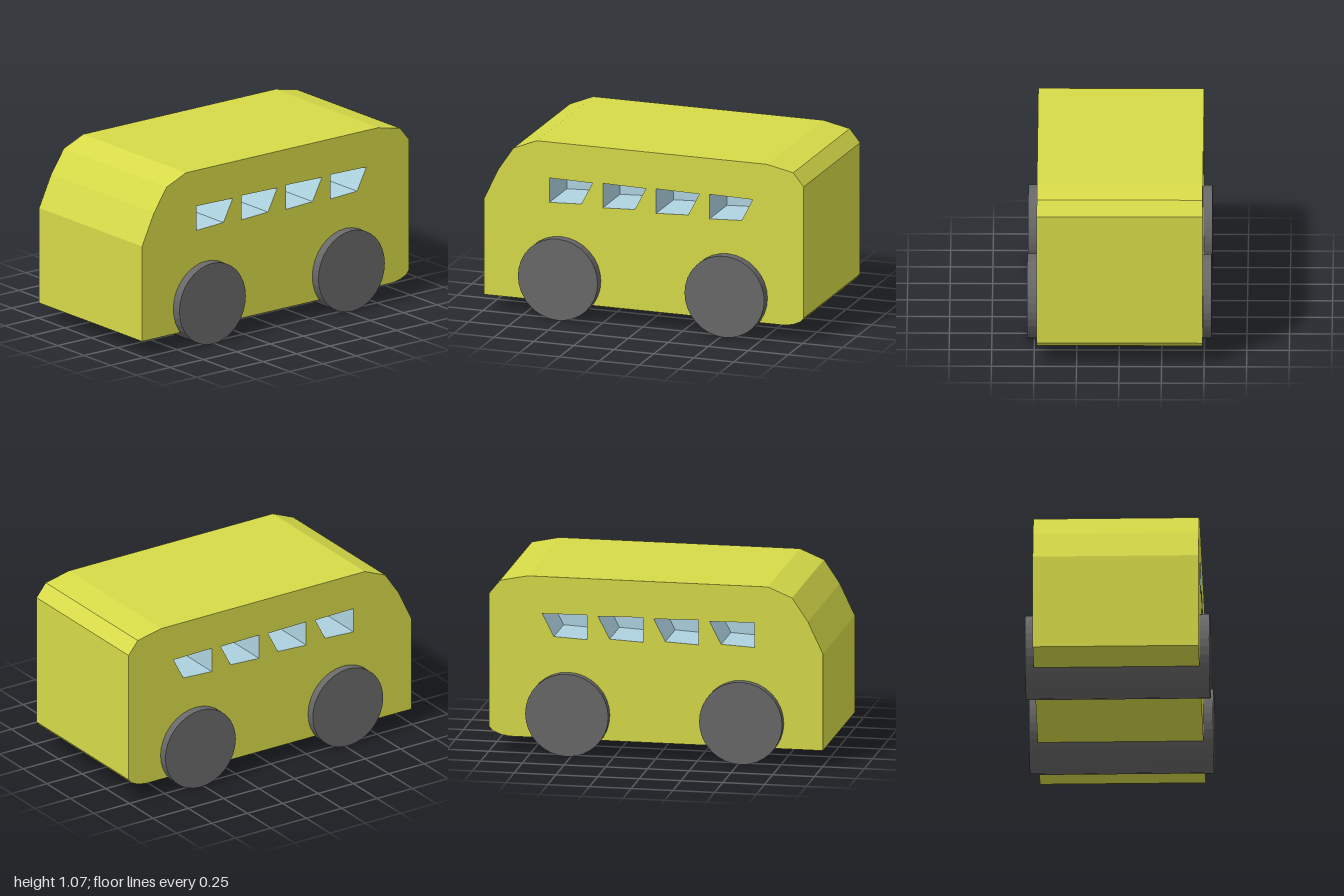
import * as THREE from 'three';

const RIGHT_X = 0.484, LEFT_X = -0.491; // side planes of the body
const POCKET_DEPTH = 0.3;

// Side profile of the body as [z, y]
const BODY = [
  [1, 0.095], [1, 0.68], [0.91, 0.87], [0.815, 1.01], [0.67, 1.07], [-0.77, 1.07],
  [-0.935, 1.035], [-1, 0.955], [-1, 0.15], [-0.98, 0.125], [-0.935, 0.105], [-0.88, 0.095],
];
// Foremost window; the others repeat it towards the rear
const WINDOW = [[0.59, 0.85], [0.32, 0.845], [0.39, 0.71], [0.59, 0.7]];
const WINDOW_SHIFTS = [0, 1, 2, 3].map((i) => -0.334 * i);

// Shape drawn so that a turn of side * 90 degrees about y puts it in the z-y plane
const outline = (points, side, dz = 0) =>
  new THREE.Shape(points.map(([z, y]) => new THREE.Vector2(-side * (z + dz), y)));

// Walls of an extruded outline, without its end caps
function walls(shape, depth) {
  const solid = new THREE.ExtrudeGeometry(shape, { depth, bevelEnabled: false, steps: 1 });
  const { start, count } = solid.groups[1];
  const positions = solid.attributes.position.array.slice(start * 3, (start + count) * 3);
  const geometry = new THREE.BufferGeometry();
  geometry.setAttribute('position', new THREE.BufferAttribute(positions, 3));
  geometry.computeVertexNormals();
  return geometry;
}

export function createModel() {
  const model = new THREE.Group();
  model.name = 'van';
  const paint = new THREE.MeshStandardMaterial({ color: 0xd6da48 });
  const glass = new THREE.MeshStandardMaterial({ color: 0xaed3e0, side: THREE.DoubleSide });
  const rubber = new THREE.MeshStandardMaterial({ color: 0x686868, flatShading: true });

  const add = (parent, name, geometry, material) => {
    const mesh = new THREE.Mesh(geometry, material);
    mesh.name = name;
    parent.add(mesh);
    return mesh;
  };

  // Front, roof, rear and floor in one wrap
  const shell = add(model, 'bodyShell', walls(outline(BODY, 1), RIGHT_X - LEFT_X), paint);
  shell.rotation.y = Math.PI / 2;
  shell.position.x = LEFT_X;

  // Sides with recessed windows
  for (const side of [1, -1]) {
    const group = new THREE.Group();
    group.name = side > 0 ? 'leftSide' : 'rightSide';
    group.rotation.y = side * Math.PI / 2;
    group.position.x = side > 0 ? RIGHT_X : LEFT_X;
    const panel = outline(BODY, side);
    for (const dz of WINDOW_SHIFTS) {
      const opening = outline(WINDOW, side, dz);
      panel.holes.push(opening);
      const recess = add(group, 'windowRecess', walls(opening, POCKET_DEPTH), glass);
      const pane = add(group, 'windowPane', new THREE.ShapeGeometry(opening), glass);
      recess.position.z = pane.position.z = -POCKET_DEPTH;
    }
    add(group, 'sidePanel', new THREE.ShapeGeometry(panel), paint);
    model.add(group);
  }

  // Wheel pairs, each one roller running the full width
  for (const [name, z] of [['frontWheels', 0.517], ['rearWheels', -0.525]]) {
    const wheels = add(model, name, new THREE.CylinderGeometry(0.249, 0.249, 1.084, 32), rubber);
    wheels.rotation.z = Math.PI / 2;
    wheels.position.set(0, 0.249, z);
  }
  return model;
}
